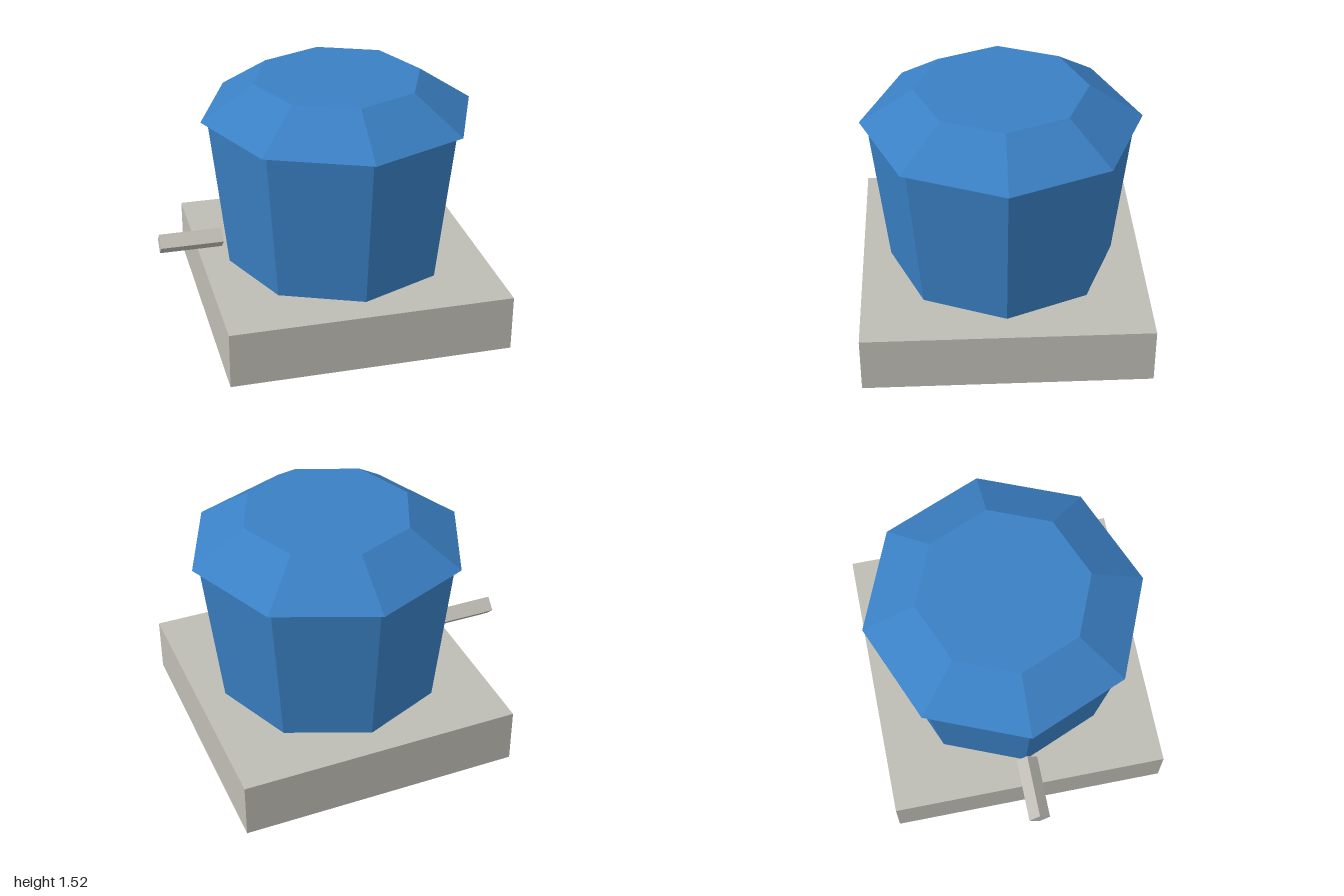
import * as THREE from 'three';

export function createModel() {
  const model = new THREE.Group();
  model.name = 'lidded tank';

  const blue = new THREE.MeshStandardMaterial({ color: 0x3a80c4, flatShading: true });
  blue.name = 'blue paint';
  const grey = new THREE.MeshStandardMaterial({ color: 0xbfbdb5, flatShading: true });
  grey.name = 'warm grey';

  const add = (name, geometry, material, x, y, z = 0) => {
    const mesh = new THREE.Mesh(geometry, material);
    mesh.name = name;
    mesh.position.set(x, y, z);
    model.add(mesh);
    return mesh;
  };

  const centreX = 0.13;

  // Square plinth
  add('base', new THREE.BoxGeometry(1.735, 0.35, 1.735), grey, 0.1325, 0.175);

  // Eight-sided body, wider towards the top
  add('body', new THREE.CylinderGeometry(0.804, 0.695, 0.96, 8), blue, centreX, 0.83);

  // Overhanging lid with a flat top
  add('lid', new THREE.CylinderGeometry(0.52, 0.845, 0.215, 8), blue, centreX, 1.4175);

  // Square bar on edge, pointing to the side
  const handle = add('handle', new THREE.CylinderGeometry(0.065, 0.065, 0.39, 4), grey, -0.805, 0.525);
  handle.rotation.z = Math.PI / 2;

  return model;
}
